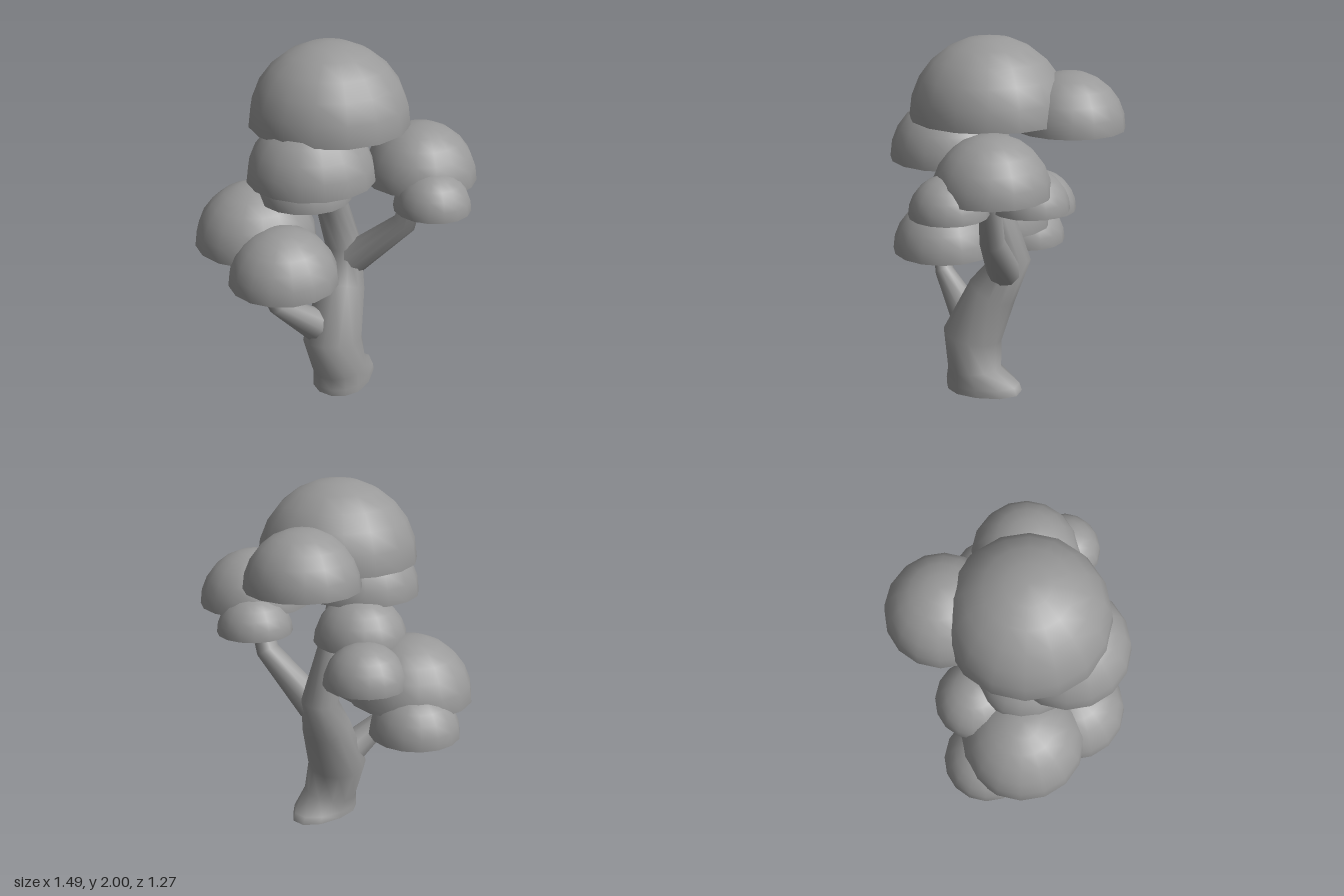
import * as THREE from 'three';
import { mergeGeometries } from 'three/addons/utils/BufferGeometryUtils.js';

const leafMaterial = new THREE.MeshStandardMaterial({ color: 0x999999 });
const woodMaterial = new THREE.MeshStandardMaterial({ color: 0x999999, side: THREE.DoubleSide });

// Half-sphere with a flat, crisp underside
function dome(radius) {
  const cap = new THREE.SphereGeometry(radius, 16, 6, 0, Math.PI * 2, 0, Math.PI / 2);
  const base = new THREE.CircleGeometry(radius, 16).rotateX(Math.PI / 2);
  return mergeGeometries([cap, base]);
}

// Tapered open limb swept through [x, y, z, radius] stations.
// shape(point, ringIndex) may adjust each ring vertex.
function limb(stations, sides, shape = () => {}) {
  const centres = stations.map(([x, y, z]) => new THREE.Vector3(x, y, z));
  const last = stations.length - 1;
  const points = [];
  const index = [];
  centres.forEach((c, i) => {
    const dir = new THREE.Vector3();
    if (i > 0) dir.add(c.clone().sub(centres[i - 1]).normalize());
    if (i < last) dir.add(centres[i + 1].clone().sub(c).normalize());
    const turn = new THREE.Quaternion().setFromUnitVectors(new THREE.Vector3(0, 1, 0), dir.normalize());
    for (let k = 0; k < sides; k++) {
      const angle = (k / sides) * Math.PI * 2;
      const p = new THREE.Vector3(Math.cos(angle), 0, -Math.sin(angle))
        .multiplyScalar(stations[i][3]).applyQuaternion(turn).add(c);
      shape(p, i);
      points.push(p);
      if (i === last) continue;
      const a = i * sides + k, b = i * sides + (k + 1) % sides;
      index.push(a, b, a + sides, b, b + sides, a + sides);
    }
  });
  const geometry = new THREE.BufferGeometry().setFromPoints(points);
  geometry.setIndex(index);
  geometry.computeVertexNormals();
  return geometry;
}

export function createModel() {
  const tree = new THREE.Group();
  tree.name = 'tree';
  const add = (name, geometry, material, x = 0, y = 0, z = 0) => {
    const mesh = new THREE.Mesh(geometry, material);
    mesh.name = name;
    mesh.position.set(x, y, z);
    tree.add(mesh);
  };

  // Trunk, with one root spreading towards the back left at ground level
  const rootDirection = new THREE.Vector3(1, 0, -1).normalize();
  add('trunk', limb([
    [0.025, 0, 0.15, 0.155], [0.025, 0.04, 0.15, 0.155], [0.02, 0.11, 0.15, 0.155],
    [-0.02, 0.3, 0.145, 0.171], [0.05, 0.58, 0.05, 0.139], [0.09, 0.78, -0.053, 0.105],
    [-0.008, 1.12, 0.028, 0.087], [-0.05, 1.4, 0.12, 0.072],
  ], 12, (p, i) => {
    if (i > 1) return;
    const out = (p.x - 0.025) * rootDirection.x + (p.z - 0.15) * rootDirection.z;
    p.addScaledVector(rootDirection, out * (out > 0 ? 0.85 - i * 0.1 : 0.08));
  }), woodMaterial);

  // Side branches
  add('leftBranch', limb([
    [0.12, 0.72, 0.01, 0.095], [0.375, 1.0, 0.18, 0.066], [0.445, 1.32, 0.225, 0.053],
  ], 10), woodMaterial);
  add('rightBranch', limb([
    [-0.12, 0.4, 0.15, 0.095], [-0.34, 0.58, 0.2, 0.055], [-0.45, 0.8, 0.205, 0.033],
  ], 10), woodMaterial);

  // Foliage: x, base height, z, radius
  const foliage = {
    crown: [-0.015, 1.57, 0.04, 0.43],
    upperFront: [-0.15, 1.333, 0.21, 0.338],
    upperBack: [0.19, 1.52, -0.335, 0.302],
    left: [0.44, 1.283, 0.208, 0.302],
    leftFront: [0.44, 1.2, 0.435, 0.202],
    leftBack: [0.44, 1.18, 0, 0.207],
    middle: [-0.135, 1.12, -0.03, 0.258],
    middleBack: [-0.135, 0.973, -0.302, 0.226],
    right: [-0.4, 0.83, -0.13, 0.345],
    rightFront: [-0.305, 0.74, 0.205, 0.302],
    rightBack: [-0.4, 0.698, -0.34, 0.246],
  };
  for (const [name, [x, y, z, radius]] of Object.entries(foliage)) {
    add(name + 'Foliage', dome(radius), leafMaterial, x, y, z);
  }
  return tree;
}
